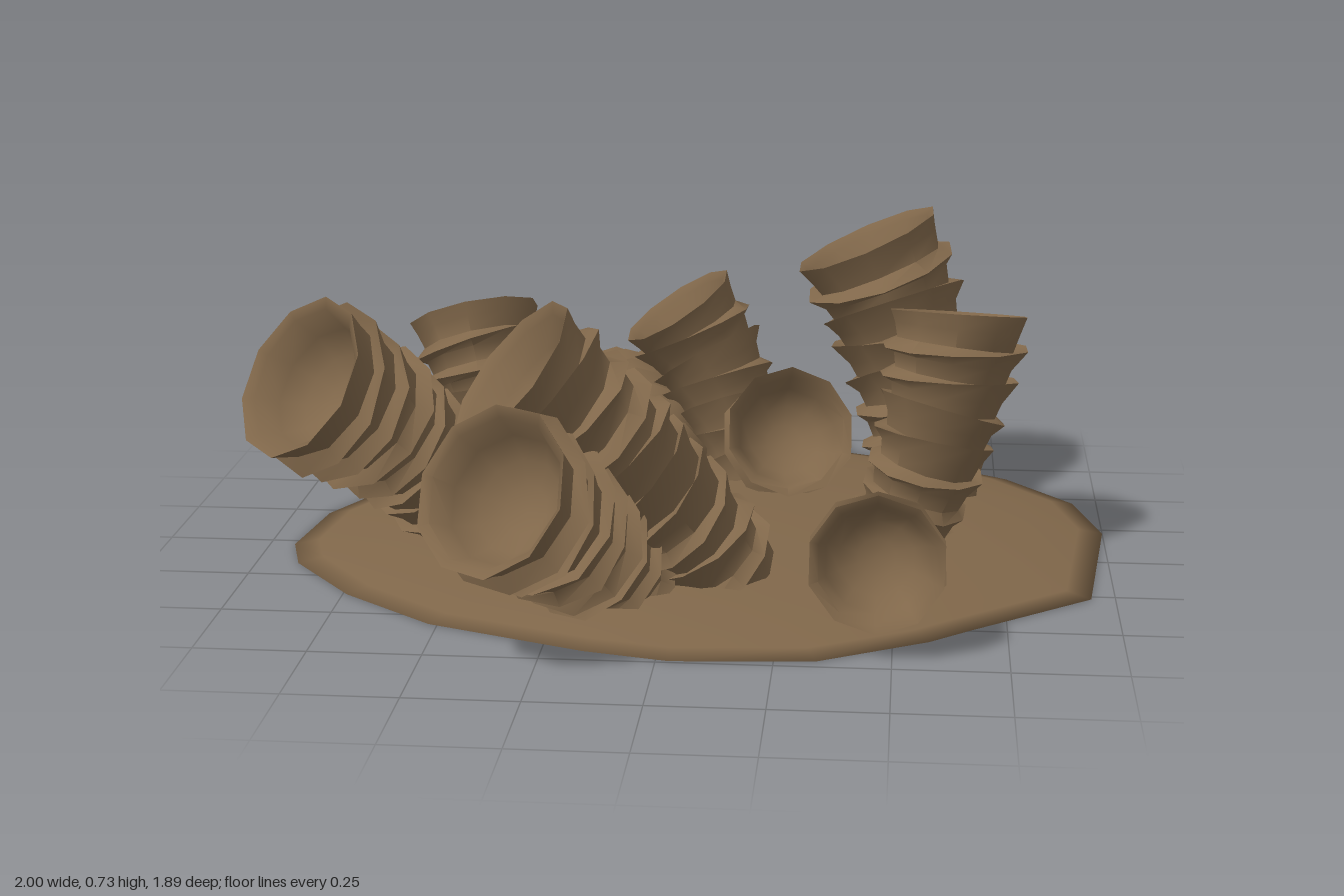
import * as THREE from 'three';
import { toCreasedNormals } from 'three/addons/utils/BufferGeometryUtils.js';

const V = (a) => new THREE.Vector3(a[0], a[1], a[2]);

// Small seeded generator for uneven ribs
let seed = 7;
const rand = () => {
  seed = (seed * 16807) % 2147483647;
  return seed / 2147483647;
};

// Skin a list of closed rings; rings run counter-clockwise about the direction of travel
function loft(rings, crease) {
  const n = rings[0].length, pos = [], idx = [];
  rings.forEach((ring) => ring.forEach((p) => pos.push(p.x, p.y, p.z)));
  for (let i = 0; i < rings.length - 1; i++) {
    for (let j = 0; j < n; j++) {
      const k = (j + 1) % n;
      const a = i * n + j, b = i * n + k, c = (i + 1) * n + k, d = (i + 1) * n + j;
      idx.push(a, b, c, a, c, d);
    }
  }
  const g = new THREE.BufferGeometry();
  g.setAttribute('position', new THREE.Float32BufferAttribute(pos, 3));
  g.setIndex(idx);
  return toCreasedNormals(g, crease);
}

// Ribbed tube bending from its base to a mouth that faces along "facing"
function ribbedTube({ base, mouth, facing, r0, r1, ribs }) {
  const start = V(base), end = V(mouth), dir = V(facing).normalize();
  const length = start.distanceTo(end);
  const bend = end.clone().addScaledVector(dir, -length * 0.5);
  const curve = new THREE.QuadraticBezierCurve3(start, bend, end);
  const ref = Math.abs(dir.x) < 0.6 ? new THREE.Vector3(1, 0, 0) : new THREE.Vector3(0, 0, 1);
  const sides = 10, rings = [];

  const addRing = (t, radius, rough) => {
    const c = curve.getPoint(t), T = curve.getTangent(t);
    const u = new THREE.Vector3().crossVectors(T, ref).normalize();
    const v = new THREE.Vector3().crossVectors(T, u);
    const phase = rand() * Math.PI * 2, tilt = rough * 0.14 * radius;
    const ring = [];
    for (let j = 0; j < sides; j++) {
      const a = (j / sides) * Math.PI * 2;
      const r = radius * (1 + rough * 0.07 * (rand() - 0.5));
      const p = c.clone()
        .addScaledVector(u, Math.cos(a) * r)
        .addScaledVector(v, Math.sin(a) * r)
        .addScaledVector(T, Math.sin(a + phase) * tilt);
      p.y = Math.max(p.y, 0.002);
      ring.push(p);
    }
    rings.push(ring);
  };

  // Each rib flares to a sharp lip, then steps back in
  for (let k = 0; k < ribs; k++) {
    const r = THREE.MathUtils.lerp(r0, r1, ((k + 1) / ribs) ** 1.3);
    const last = k === ribs - 1;
    addRing(k / ribs, r * 0.86, 0);
    addRing((k + 0.5) / ribs, r * 0.92, 0);
    addRing(last ? 1 : (k + 0.92) / ribs, last ? r1 : r * 1.09, last ? 0.3 : 1);
  }
  // Hollow cup inside the mouth
  const depth = r1 / length;
  [[0.08, 0.87], [0.38, 0.76], [0.62, 0.55], [0.75, 0.28], [0.78, 0]].forEach(([d, s]) =>
    addRing(Math.max(0.05, 1 - d * depth), r1 * s, 0));
  return loft(rings, 1.0);
}

// Low mound with an uneven outline, a thin soft edge and a flat underside
function mound() {
  const outline = [
    [0.03, -0.945], [-0.24, -0.9], [-0.5, -0.83], [-0.71, -0.67], [-0.8, -0.45],
    [-0.91, -0.22], [-0.94, 0.03], [-0.9, 0.17], [-0.74, 0.38], [-0.52, 0.56],
    [-0.16, 0.7], [0.03, 0.745], [0.34, 0.72], [0.58, 0.58], [0.67, 0.5],
    [0.945, 0.27], [1, -0.22], [0.94, -0.46], [0.78, -0.66], [0.56, -0.8], [0.3, -0.9],
  ];
  const cx = 0.03, cz = -0.1;
  const profile = [
    [0, 0], [0.9, 0], [1, 0.001], [0.94, 0.013], [0.82, 0.032],
    [0.65, 0.048], [0.42, 0.062], [0.2, 0.071], [0, 0.074],
  ];
  return loft(profile.map(([s, y]) => outline.map(([x, z]) =>
    new THREE.Vector3(cx + (x - cx) * s, y, cz + (z - cz) * s))), Math.PI);
}

export function createModel() {
  seed = 7;
  const brown = new THREE.MeshStandardMaterial({ color: 0x80674a });
  brown.name = 'brown';
  const group = new THREE.Group();
  group.name = 'tubeCluster';
  const add = (name, geometry) => {
    const mesh = new THREE.Mesh(geometry, brown);
    mesh.name = name;
    group.add(mesh);
  };

  add('mound', mound());

  const tubes = {
    backRightTube: { base: [-0.46, 0.02, -0.36], mouth: [-0.575, 0.46, -0.465], facing: [-0.24, 0.87, -0.43], r0: 0.11, r1: 0.165, ribs: 7 },
    backLyingTube: { base: [-0.07, 0.04, -0.12], mouth: [-0.265, 0.085, -0.88], facing: [-0.32, -0.2, -0.92], r0: 0.115, r1: 0.19, ribs: 9 },
    backMiddleTube: { base: [0.13, 0.03, -0.46], mouth: [-0.07, 0.47, -0.565], facing: [-0.56, 0.82, 0.05], r0: 0.12, r1: 0.155, ribs: 7 },
    middleLowTube: { base: [0.19, 0.05, -0.53], mouth: [0.235, 0.22, -0.29], facing: [0.18, 0.4, 0.9], r0: 0.11, r1: 0.16, ribs: 6 },
    backLeftTube: { base: [0.58, 0.02, -0.42], mouth: [0.41, 0.66, -0.525], facing: [-0.44, 0.89, -0.03], r0: 0.14, r1: 0.19, ribs: 8 },
    leftTube: { base: [0.49, 0.02, -0.02], mouth: [0.635, 0.585, -0.05], facing: [0.08, 0.96, -0.22], r0: 0.115, r1: 0.165, ribs: 8 },
    rightTube: { base: [-0.5, 0.04, -0.02], mouth: [-0.845, 0.495, 0.325], facing: [-0.6, 0.48, 0.62], r0: 0.13, r1: 0.195, ribs: 9 },
    rightLowTube: { base: [-0.54, 0.06, 0.03], mouth: [-0.325, 0.1, 0.2], facing: [0.75, 0.08, 0.65], r0: 0.11, r1: 0.155, ribs: 5 },
    frontMiddleTube: { base: [0.13, 0.03, 0.27], mouth: [-0.34, 0.56, 0.485], facing: [-0.72, 0.62, 0.22], r0: 0.13, r1: 0.19, ribs: 10 },
    frontRightTube: { base: [-0.1, 0.04, 0.34], mouth: [-0.335, 0.39, 0.815], facing: [-0.42, 0.5, 0.76], r0: 0.13, r1: 0.19, ribs: 9 },
    frontLeftTube: { base: [0.46, 0.07, 0.29], mouth: [0.465, 0.21, 0.695], facing: [0.02, 0.12, 0.99], r0: 0.1, r1: 0.15, ribs: 7 },
  };
  for (const [name, spec] of Object.entries(tubes)) add(name, ribbedTube(spec));

  return group;
}
